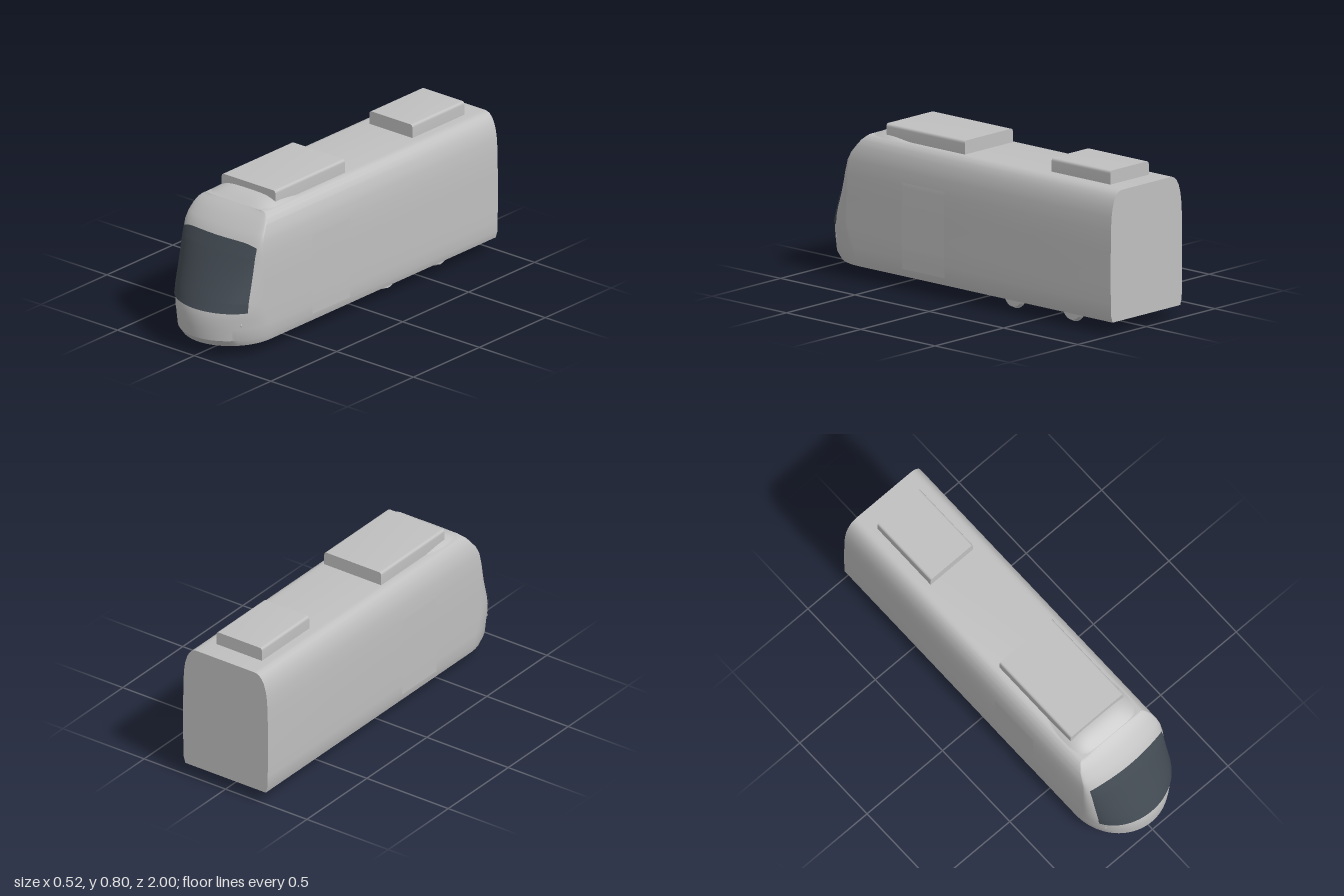
import * as THREE from 'three';
import { toCreasedNormals } from 'three/addons/utils/BufferGeometryUtils.js';
import { ParametricGeometry } from 'three/addons/geometries/ParametricGeometry.js';

// Horizontal sections of the shell: height, half width, front z, depth of the rounded nose
const SECTIONS = [
  [0.065, 0.247, 0.967, 0.26], [0.1, 0.2575, 0.995, 0.28], [0.16, 0.259, 1, 0.27],
  [0.21, 0.26, 0.998, 0.245], [0.25, 0.26, 0.99, 0.22], [0.3, 0.26, 0.968, 0.19],
  [0.42, 0.26, 0.912, 0.14], [0.53, 0.259, 0.862, 0.09], [0.6, 0.254, 0.827, 0.06],
  [0.64, 0.248, 0.797, 0.045], [0.68, 0.236, 0.757, 0.03], [0.705, 0.222, 0.73, 0.018],
  [0.72, 0.208, 0.708, 0.01], [0.728, 0.192, 0.697, 0.004], [0.73, 0.175, 0.694, 0],
];
const BACK = -1;

// Section values at any height
function sectionAt(y) {
  let i = 0;
  while (i < SECTIONS.length - 2 && y > SECTIONS[i + 1][0]) i++;
  const a = SECTIONS[i], b = SECTIONS[i + 1];
  const t = (y - a[0]) / (b[0] - a[0]);
  return a.map((v, k) => THREE.MathUtils.lerp(v, b[k], t));
}

// z of the nose surface at x, y
function noseZ(x, y, lift = 0) {
  const [, w, front, depth] = sectionAt(y);
  const s = Math.min(1, Math.abs(x) / (w + lift));
  return front + lift - depth + depth * Math.sqrt(1 - s * s);
}

// Crease at a large scale so that close vertices stay apart
function crease(geometry, angle) {
  geometry.scale(100, 100, 100);
  const result = toCreasedNormals(geometry, angle);
  return result.scale(0.01, 0.01, 0.01);
}

function shellGeometry() {
  const NOSE = 40, N = NOSE + 2, pos = [], idx = [];
  for (const [y, w, front, depth] of SECTIONS) {
    pos.push(w, y, BACK);
    for (let i = 0; i < NOSE; i++) {
      const t = Math.PI * (0.5 - i / (NOSE - 1));
      pos.push(w * Math.sin(t), y, front - depth + depth * Math.cos(t));
    }
    pos.push(-w, y, BACK);
  }
  // Sides, nose and back wall
  for (let r = 0; r < SECTIONS.length - 1; r++) {
    for (let i = 0; i < N; i++) {
      const j = (i + 1) % N;
      const a = r * N + i, b = r * N + j, c = b + N, d = a + N;
      idx.push(a, d, c, a, c, b);
    }
  }
  // Floor and roof
  const top = (SECTIONS.length - 1) * N;
  for (let i = 0; i < N / 2 - 1; i++) {
    const r0 = i, r1 = i + 1, l0 = N - 1 - i, l1 = N - 2 - i;
    idx.push(l0, r1, l1, l0, r0, r1);
    idx.push(top + l0, top + l1, top + r1, top + l0, top + r1, top + r0);
  }
  const g = new THREE.BufferGeometry();
  g.setAttribute('position', new THREE.Float32BufferAttribute(pos, 3));
  g.setIndex(idx);
  return crease(g, 0.42);
}

// Roof unit with rounded upper long edges
function roofUnitGeometry(halfWidth, z0, z1) {
  const y0 = 0.725, y1 = 0.8, r = 0.016;
  const s = new THREE.Shape();
  s.moveTo(-halfWidth, y0);
  s.lineTo(halfWidth, y0);
  s.lineTo(halfWidth, y1 - r);
  s.quadraticCurveTo(halfWidth, y1, halfWidth - r, y1);
  s.lineTo(-halfWidth + r, y1);
  s.quadraticCurveTo(-halfWidth, y1, -halfWidth, y1 - r);
  const g = new THREE.ExtrudeGeometry(s, { depth: z1 - z0, bevelEnabled: false, curveSegments: 6 });
  return crease(g.translate(0, 0, z0), 0.5);
}

export function createModel() {
  const model = new THREE.Group();
  const paint = new THREE.MeshStandardMaterial({ color: 0xc0c0c0 });
  paint.name = 'light grey';
  const glass = new THREE.MeshStandardMaterial({ color: 0x434b53 });
  glass.name = 'dark glass';

  const add = (name, geometry, material = paint, parent = model) => {
    const mesh = new THREE.Mesh(geometry, material);
    mesh.name = name;
    parent.add(mesh);
    return mesh;
  };

  add('bodyShell', shellGeometry());

  // Windscreen follows the nose, with softened upper corners
  add('windscreen', new ParametricGeometry((u, v, p) => {
    const x = (u * 2 - 1) * 0.238;
    const yTop = 0.597 - 0.022 * Math.pow(Math.abs(u * 2 - 1), 6);
    const y = THREE.MathUtils.lerp(0.25, yTop, v);
    p.set(x, y, noseZ(x, y, 0.004));
  }, 48, 24), glass);

  // Roof units and the fairing that leads up to the front one
  add('frontRoofUnit', roofUnitGeometry(0.175, 0.06, 0.588));
  add('rearRoofUnit', roofUnitGeometry(0.14, -0.887, -0.492));
  add('roofFairing', new ParametricGeometry((u, v, p) => {
    const z = THREE.MathUtils.lerp(0.4, 0.694, u), s = v * 2 - 1;
    const rise = u < 0.62 ? Math.sin((u / 0.62) * Math.PI / 2) : Math.cos(((u - 0.62) / 0.38) * Math.PI / 2);
    const half = 0.2 - 0.04 * Math.pow(u, 6) - 0.03 * Math.pow(1 - u, 4);
    p.set(s * half, 0.729 + 0.037 * rise * (1 - Math.pow(Math.abs(s), 4)), z);
  }, 24, 32));

  // Two door leaves and a small marker lamp on each side
  for (const side of [1, -1]) {
    const label = side > 0 ? 'left' : 'right';
    for (const [name, z0, z1] of [['FrontDoorLeaf', 0.261, 0.405], ['RearDoorLeaf', 0.12, 0.259]]) {
      add(label + name, new ParametricGeometry((u, v, p) => {
        const y = THREE.MathUtils.lerp(0.105, 0.545, u);
        const z = side > 0 ? z0 + (z1 - z0) * v : z1 - (z1 - z0) * v;
        p.set(side * (sectionAt(y)[1] + 0.0015), y, z);
      }, 16, 1));
    }
    const lamp = add(label + 'Lamp', new THREE.SphereGeometry(0.008, 12, 8));
    lamp.scale.set(0.55, 1, 0.6);
    lamp.position.set(side * 0.212, 0.183, noseZ(0.212, 0.183));
  }

  // Wheelsets half hidden under the floor, flanges on the inner side
  const wheelProfile = [[0, 0.147], [0.06, 0.147], [0.066, 0.152], [0.067, 0.157], [0.061, 0.162],
    [0.057, 0.178], [0, 0.178]].map(([r, x]) => new THREE.Vector2(r, x));
  for (const [name, z] of [['front', -0.265], ['rear', -0.66]]) {
    const set = new THREE.Group();
    set.name = name + 'Wheelset';
    set.position.set(0, 0.067, z);
    model.add(set);
    for (const side of [1, -1]) {
      const wheel = add(side > 0 ? 'leftWheel' : 'rightWheel',
        crease(new THREE.LatheGeometry(wheelProfile, 32), 0.6), paint, set);
      wheel.rotation.z = -side * Math.PI / 2;
    }
    const axle = add('axle', new THREE.CylinderGeometry(0.009, 0.009, 0.3, 12), paint, set);
    axle.rotation.z = Math.PI / 2;
  }
  return model;
}
